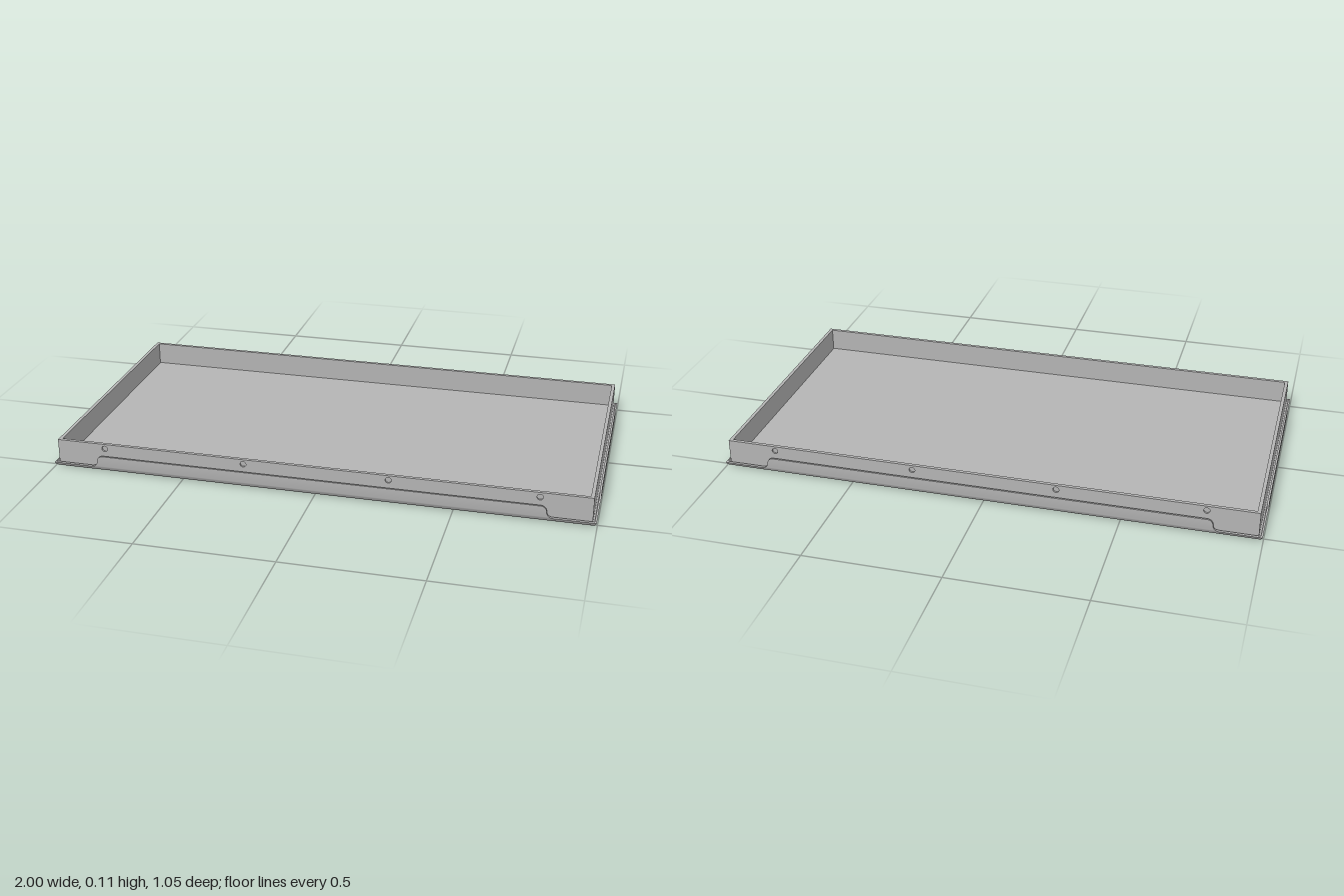
import * as THREE from 'three';
import { toCreasedNormals } from 'three/addons/utils/BufferGeometryUtils.js';

const R = 0.03, T = 0.007;           // skirt bend radius and sheet thickness
const HX = 0.97, HZ = 0.497;         // half size of the flat bottom
const WX = 0.984, WZ = 0.51;         // outer half size of the walls
const WALL = 0.013, H = 0.107, LOW = 0.02, TOP = 0.064;

// Closed cross-section of the bent skirt at a given height: [outward, y]
function skirtSection(h) {
  const outer = [], inner = [];
  const max = Math.acos(1 - Math.min(h, R) / R);
  for (let i = 0; i <= 8; i++) {
    const a = max * i / 8, s = Math.sin(a), c = Math.cos(a);
    outer.push([R * s, R - R * c]);
    inner.push([(R - T) * s, R - (R - T) * c]);
  }
  const rise = Math.max(0, h - R);
  outer.push([outer[8][0], outer[8][1] + rise]);
  inner.push([inner[8][0], inner[8][1] + rise]);
  return [...outer, ...inner.reverse()];
}

// Skirt along x: raised in the middle, S-curved steps, mitred low ends
function skirtGeometry(half, step) {
  const r = (TOP - LOW) / 2, right = [];
  for (let i = 0; i <= 6; i++) {
    const a = i / 6 * Math.PI / 2;
    right.push([step - r + r * Math.sin(a), TOP - r + r * Math.cos(a)]);
  }
  for (let i = 1; i <= 6; i++) {
    const a = i / 6 * Math.PI / 2;
    right.push([step + r - r * Math.cos(a), LOW + r - r * Math.sin(a)]);
  }
  right.push([half, LOW, 1]);
  const left = right.map(([s, h, m]) => [-s, h, m ? -1 : 0]).reverse();
  const stations = [...left, ...right];
  const pos = [], idx = [];
  const n = skirtSection(TOP).length;
  stations.forEach(([s, h, mitre = 0], i) => {
    for (const [d, y] of skirtSection(h)) pos.push(s + mitre * d, y, d);
    if (i === 0) return;
    for (let j = 0; j < n; j++) {
      const k = (j + 1) % n, p = (i - 1) * n, q = i * n;
      idx.push(p + j, q + j, q + k, p + j, q + k, p + k);
    }
  });
  const g = new THREE.BufferGeometry();
  g.setAttribute('position', new THREE.Float32BufferAttribute(pos, 3));
  g.setIndex(idx);
  return toCreasedNormals(g, 0.6);
}

export function createModel() {
  const model = new THREE.Group();
  const metal = new THREE.MeshStandardMaterial({ color: 0xb4b4b4 });
  metal.name = 'grey metal';

  const add = (name, geometry, x = 0, y = 0, z = 0, turn = 0) => {
    const mesh = new THREE.Mesh(geometry, metal);
    mesh.name = name;
    mesh.position.set(x, y, z);
    mesh.rotation.y = turn;
    model.add(mesh);
    return mesh;
  };

  // Floor
  add('floor', new THREE.BoxGeometry(HX * 2, LOW, HZ * 2), 0, LOW / 2, 0);

  // Long outer wall sheet with four round holes
  const y0 = 0.013, wallH = H - y0, sheet = WALL / 2;
  const face = new THREE.Shape();
  face.moveTo(-WX, y0);
  face.lineTo(WX, y0);
  face.lineTo(WX, H);
  face.lineTo(-WX, H);
  face.closePath();
  for (const x of [-0.8, -0.267, 0.267, 0.8]) {
    const hole = new THREE.Path();
    hole.absarc(x, 0.089, 0.011, 0, Math.PI * 2, true);
    face.holes.push(hole);
  }
  const drilled = new THREE.ExtrudeGeometry(face, { depth: sheet, bevelEnabled: false, curveSegments: 20 });
  const liner = new THREE.BoxGeometry(WX * 2, wallH, sheet);
  const endWall = new THREE.BoxGeometry(WALL, wallH, (WZ - WALL) * 2);
  const longSkirt = skirtGeometry(HX, 0.827);
  const shortSkirt = skirtGeometry(HZ, 0.351);

  // Walls and skirts, mirrored on opposite sides
  for (const s of [1, -1]) {
    const side = s > 0 ? 'front' : 'back', end = s > 0 ? 'left' : 'right';
    const turn = s > 0 ? 0 : Math.PI;
    add(side + 'Wall', drilled, 0, 0, s * (WZ - sheet), turn);
    add(side + 'WallLiner', liner, 0, y0 + wallH / 2, s * (WZ - sheet * 1.5));
    add(end + 'Wall', endWall, s * (WX - WALL / 2), y0 + wallH / 2, 0);
    add(side + 'Skirt', longSkirt, 0, 0, s * HZ, turn);
    add(end + 'Skirt', shortSkirt, s * HX, 0, 0, s * Math.PI / 2);
  }
  return model;
}
